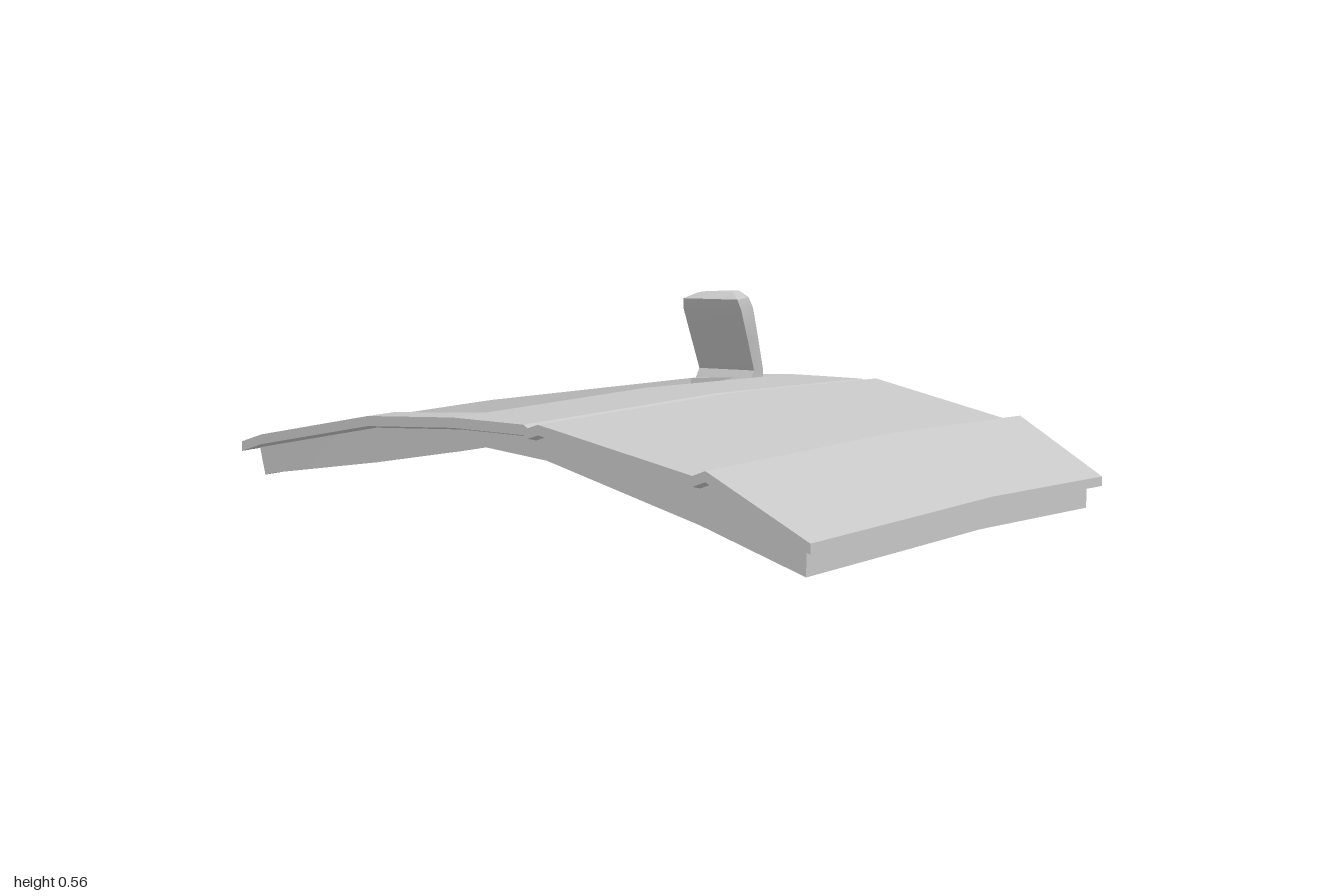
import * as THREE from 'three';
import { toCreasedNormals } from 'three/addons/utils/BufferGeometryUtils.js';

// piecewise-linear lookup
function lerpTable(table, x) {
  let i = 0;
  while (i < table.length - 2 && x > table[i + 1][0]) i++;
  const [a, b] = [table[i], table[i + 1]];
  return a[1] + (b[1] - a[1]) * (x - a[0]) / (b[0] - a[0]);
}

// cross-sections of the outer skin, with its two pressed steps, and of the underside
const SKIN = [[-1, 0.205], [-0.97, 0.222], [-0.5, 0.33], [-0.2, 0.358], [0.06, 0.365], [0.075, 0.357],
  [0.11, 0.37], [0.61, 0.294], [0.65, 0.311], [0.965, 0.17]];
const UNDERSIDE = [[-0.95, 0.108], [-0.87, 0.13], [-0.4, 0.215], [-0.1, 0.283], [0.11, 0.271], [0.61, 0.163], [0.93, 0.076]];
const BACK_EDGE = [[-0.2, -0.81], [-0.08, -0.828], [0.11, -0.84], [0.65, -0.775], [0.965, -0.69]];
const skew = (z) => -0.021 * (z - 0.8);

// height of a cross-section, falling towards the back
function heightAt(profile, x, z) {
  const drop = z > -0.05 ? 0.036 * (z - 0.8) : -0.03 + 0.073 * (z + 0.05);
  return lerpTable(profile, x - skew(z)) + drop;
}

function meshFrom(name, positions, index, material, crease) {
  const geo = new THREE.BufferGeometry();
  geo.setAttribute('position', new THREE.Float32BufferAttribute(positions, 3));
  geo.setIndex(index);
  const mesh = new THREE.Mesh(toCreasedNormals(geo, crease), material);
  mesh.name = name;
  return mesh;
}

// solid made of stacked plan grids, each at a depth below a cross-section
function stackedSlab(name, levels, material) {
  const positions = [], index = [];
  const first = levels[0].grid, n = first.length, m = first[0].length;
  for (const { grid, profile, depth } of levels)
    for (const row of grid) for (const [x, z] of row) positions.push(x, heightAt(profile, x, z) - depth, z);
  const id = (l, i, j) => l * n * m + i * m + j;
  const [p, q, r] = [first[0][0], first[1][0], first[0][1]];
  const flip = (q[1] - p[1]) * (r[0] - p[0]) - (q[0] - p[0]) * (r[1] - p[1]) < 0;
  const quad = (a, b, c, d) => flip ? index.push(a, c, b, a, d, c) : index.push(a, b, c, a, c, d);
  const last = levels.length - 1;
  for (let i = 0; i < n - 1; i++) for (let j = 0; j < m - 1; j++) {
    quad(id(0, i, j), id(0, i + 1, j), id(0, i + 1, j + 1), id(0, i, j + 1));
    quad(id(last, i, j), id(last, i, j + 1), id(last, i + 1, j + 1), id(last, i + 1, j));
  }
  // border walls
  const border = [];
  for (let i = 0; i < n - 1; i++) border.push([i, 0]);
  for (let j = 0; j < m - 1; j++) border.push([n - 1, j]);
  for (let i = n - 1; i > 0; i--) border.push([i, m - 1]);
  for (let j = m - 1; j > 0; j--) border.push([0, j]);
  for (let l = 0; l < last; l++) border.forEach(([i, j], k) => {
    const [s, t] = border[(k + 1) % border.length];
    quad(id(l, i, j), id(l + 1, i, j), id(l + 1, s, t), id(l, s, t));
  });
  return meshFrom(name, positions, index, material, 0.3);
}

// lower body panel, from the window to the sill
function panelGrid(inset, left, right) {
  return [left, -0.1, 0.06, 0.075, 0.11, 0.36, 0.61, 0.65, right].map((x) => {
    const front = 0.8 + 0.03 * x - inset, back = lerpTable(BACK_EDGE, x) + inset;
    return [front, 0.35, -0.05, -0.4, back].map((z) => [x + skew(z), z]);
  });
}

// window frame: outer point, inner point, width of the ledge in the opening
const FRAME = [
  [-0.185, 0.794, -0.182, 0.668, 0.02], [-0.5, 0.785, -0.5, 0.675, 0.02], [-0.92, 0.772, -0.905, 0.687, 0.015],
  [-1, 0.77, -0.928, 0.68, 0.005], [-0.998, 0.74, -0.93, 0.645, 0], [-0.975, 0.35, -0.905, 0.32, 0],
  [-0.925, -0.06, -0.865, 0.02, 0], [-0.91, -0.11, -0.845, -0.03, 0], [-0.88, -0.145, -0.79, -0.1, 0],
  [-0.37, -0.73, -0.37, -0.57, 0], [-0.24, -0.8, -0.25, -0.59, 0], [-0.151, -0.814, -0.156, -0.6, 0],
];
function frameGrid(insetX, insetZ, ledge) {
  const step = (d, limit) => Math.sign(d) * Math.min(Math.abs(d), limit);
  return FRAME.map(([ox, oz, ix, iz, width]) => {
    const dx = ix - ox, dz = iz - oz, over = ledge * width / Math.hypot(dx, dz);
    const a = [ox + step(dx, insetX), oz + step(dz, insetZ)];
    const b = [ix + dx * over, iz + dz * over];
    return [a, [(a[0] + b[0]) / 2, (a[1] + b[1]) / 2], b];
  });
}

// mirror housing: flat front, gently rounded back, lofted upward
function mirror(material) {
  // y, left x, right x, front z, back z
  const sections = [
    [0.25, -0.37, -0.16, -0.575, -0.69],
    [0.31, -0.362, -0.155, -0.605, -0.675],
    [0.42, -0.347, -0.135, -0.537, -0.617],
    [0.515, -0.335, -0.12, -0.48, -0.568],
    [0.548, -0.325, -0.125, -0.466, -0.55],
    [0.566, -0.29, -0.16, -0.49, -0.543],
  ];
  const outline = [[0, 0], [1, 0], [1, 0.6], [0.96, 0.88], [0.88, 1], [0.5, 0.98], [0.12, 0.86], [0.04, 0.75], [0, 0.5]];
  const n = outline.length, positions = [], index = [];
  for (const [y, x0, x1, z0, z1] of sections)
    for (const [u, v] of outline) positions.push(x0 + (x1 - x0) * u, y - 0.01 * (1 - u), z0 + (z1 - z0) * v);
  for (let s = 0; s < sections.length - 1; s++) for (let k = 0; k < n; k++) {
    const a = s * n + k, b = s * n + (k + 1) % n;
    index.push(a, b, b + n, a, b + n, a + n);
  }
  const top = (sections.length - 1) * n;
  for (let k = 1; k < n - 1; k++) {
    index.push(top, top + k, top + k + 1);
    index.push(0, k + 1, k);
  }
  return meshFrom('mirror', positions, index, material, 0.7);
}

export function createModel() {
  const grey = new THREE.MeshStandardMaterial({ color: 0xc8c8c8 });
  grey.name = 'light grey';
  const group = new THREE.Group();
  group.name = 'door';
  // both parts share a skin edge, an undercut and a recessed inner flange
  const layers = (outer, inner, bottom) => [
    { grid: outer, profile: SKIN, depth: 0 }, { grid: outer, profile: SKIN, depth: 0.028 },
    { grid: inner, profile: SKIN, depth: 0.036 }, { grid: bottom, profile: UNDERSIDE, depth: 0 },
  ];
  const innerPanel = panelGrid(0.035, -0.205, 0.93);
  group.add(
    stackedSlab('doorPanel', layers(panelGrid(0, -0.185, 0.965), innerPanel, innerPanel), grey),
    stackedSlab('windowFrame', layers(frameGrid(0, 0, 0), frameGrid(0.037, 0.035, 1), frameGrid(0.055, 0.035, 1)), grey),
    mirror(grey),
  );
  return group;
}
